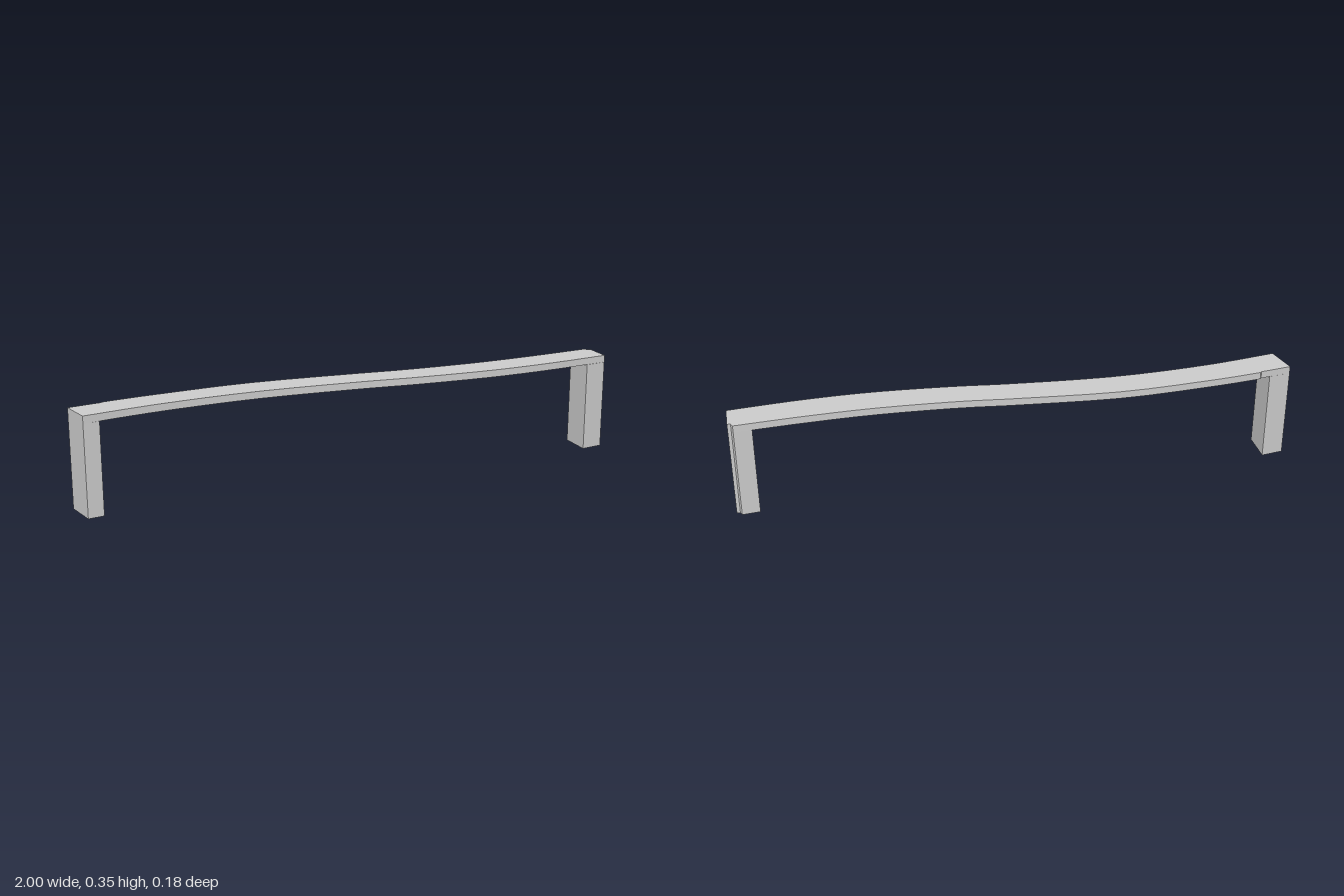
import * as THREE from 'three';

const material = new THREE.MeshStandardMaterial({ color: 0xcccccc, flatShading: true });
const TOP = 0.353, UNDERSIDE = 0.327;

// Upright prism from a plan outline of [x, z] points
function prism(name, outline, y0, y1) {
  const shape = new THREE.Shape(outline.map(([x, z]) => new THREE.Vector2(x, -z)));
  const geometry = new THREE.ExtrudeGeometry(shape, { depth: y1 - y0, bevelEnabled: false });
  geometry.rotateX(-Math.PI / 2).translate(0, y0, 0);
  const mesh = new THREE.Mesh(geometry, material);
  mesh.name = name;
  return mesh;
}

// Smooth plan edge through a few [x, z] points
function edge(points) {
  const curve = new THREE.SplineCurve(points.map(([x, z]) => new THREE.Vector2(x, z)));
  return curve.getPoints(24).map((p) => [p.x, p.y]);
}

export function createModel() {
  const model = new THREE.Group();
  model.name = 'wavyBench';

  // S-curved top slab, with small steps where it meets the legs
  const front = edge([[-0.976, 0.087], [-0.7, 0.046], [-0.36, 0.028], [0, 0.049],
    [0.22, 0.072], [0.5, 0.088], [0.75, 0.081], [1, 0.058]]);
  const back = edge([[0.982, -0.056], [0.75, -0.039], [0.5, -0.031], [0.22, -0.042],
    [0, -0.064], [-0.36, -0.089], [-0.7, -0.07], [-0.88, -0.05]]);
  const slabOutline = [...front, [1, -0.041], [0.988, -0.041], ...back, [-0.885, -0.045], [-1, -0.028]];
  model.add(prism('topSlab', slabOutline, UNDERSIDE, TOP));

  // Legs follow the slab's plan at each end
  model.add(prism('leftLeg', [[0.919, 0.069], [1, 0.058], [1, -0.041], [0.988, -0.041],
    [0.982, -0.054], [0.919, -0.048]], 0, UNDERSIDE));
  model.add(prism('rightLeg', [[-1, -0.028], [-0.976, 0.087], [-0.92, 0.079],
    [-0.92, -0.04]], 0, UNDERSIDE));

  return model;
}
